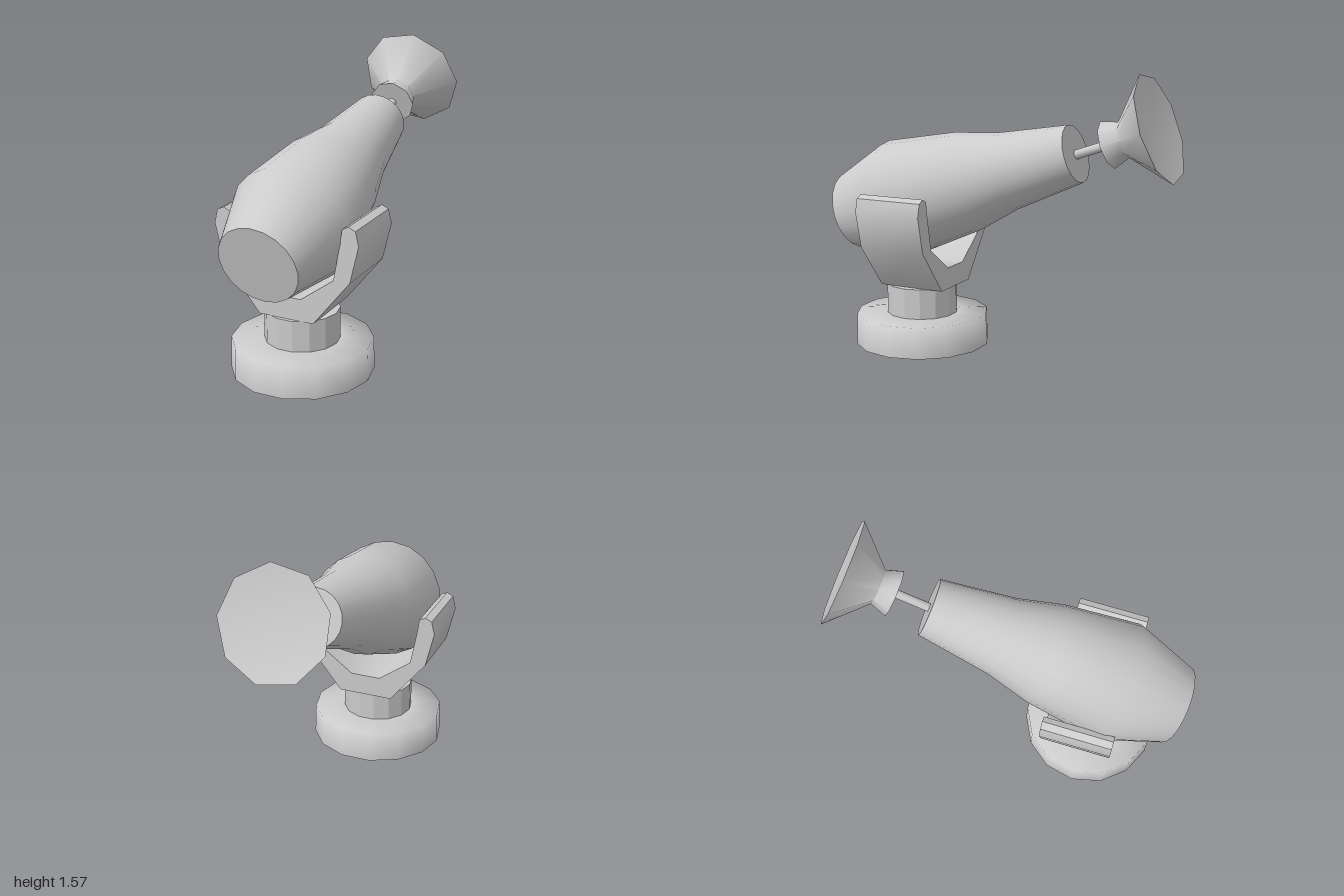
import * as THREE from 'three';
import { toCreasedNormals } from 'three/addons/utils/BufferGeometryUtils.js';

const grey = new THREE.MeshStandardMaterial({ color: 0xcccccc, side: THREE.DoubleSide });

function add(parent, name, geometry) {
  const mesh = new THREE.Mesh(geometry, grey);
  mesh.name = name;
  parent.add(mesh);
  return mesh;
}

// Turned part from [radius, height] pairs, first vertex on +x
function turned(profile, sides) {
  const points = profile.map(([r, y]) => new THREE.Vector2(r, y));
  return new THREE.LatheGeometry(points, sides, Math.PI / 2);
}

// Group whose local y axis points backward and up by the given elevation
function tilted(name, y, z, degrees) {
  const group = new THREE.Group();
  group.name = name;
  group.position.set(0, y, z);
  group.rotation.x = -THREE.MathUtils.degToRad(90 - degrees);
  return group;
}

export function createModel() {
  const model = new THREE.Group();
  model.name = 'turret';
  const standZ = 0.495;

  // Hollow base, open below, and the tube standing on it
  add(model, 'base', turned([[0.38, 0], [0.375, 0.175], [0.2, 0.175]], 14)).position.z = standZ;
  const column = new THREE.CylinderGeometry(0.2, 0.2, 0.17, 14, 1, true, Math.PI / 2);
  const columnFlat = toCreasedNormals(column, 0.3);
  add(model, 'column', columnFlat).position.set(0, 0.26, standZ);
  const lid = new THREE.CircleGeometry(0.2, 14);
  lid.rotateX(-Math.PI / 2);
  add(model, 'columnTop', lid).position.set(0, 0.345, standZ);

  // U-shaped cradle: half outline mirrored, then extruded along z
  const outer = [[0.155, 0.345], [0.36, 0.6], [0.408, 0.8], [0.39, 0.875], [0.352, 0.893],
    [0.318, 0.875], [0.308, 0.8], [0.27, 0.6], [0.085, 0.465]];
  const outline = [...outer, ...outer.map(([x, y]) => [-x, y]).reverse()];
  const shape = new THREE.Shape(outline.map(([x, y]) => new THREE.Vector2(x, y)));
  const cradle = new THREE.ExtrudeGeometry(shape, { depth: 0.39, bevelEnabled: false });
  add(model, 'cradle', toCreasedNormals(cradle, 0.7)).position.z = 0.28;

  // Bulging barrel, closed at both ends
  const barrel = tilted('barrelGroup', 0.725, 0.938, 16.7);
  const barrelProfile = [[0, 0], [0.219, 0], [0.334, 0.349], [0.279, 0.775],
    [0.215, 1.027], [0.157, 1.444], [0, 1.444]];
  add(barrel, 'barrel', toCreasedNormals(turned(barrelProfile, 20), 0.7));
  model.add(barrel);

  // Rod and nine-sided flared dish with a shallow hollow face
  const head = tilted('dishGroup', 1.2, -0.63, 19.5);
  const rod = new THREE.CylinderGeometry(0.025, 0.025, 0.24, 8);
  add(head, 'rod', toCreasedNormals(rod, 0.9)).position.y = -0.11;
  const dishProfile = [[0, 0], [0.13, 0], [0.098, 0.091], [0.295, 0.288], [0, 0.235]];
  add(head, 'dish', toCreasedNormals(turned(dishProfile, 9), 1.2));
  model.add(head);

  return model;
}
